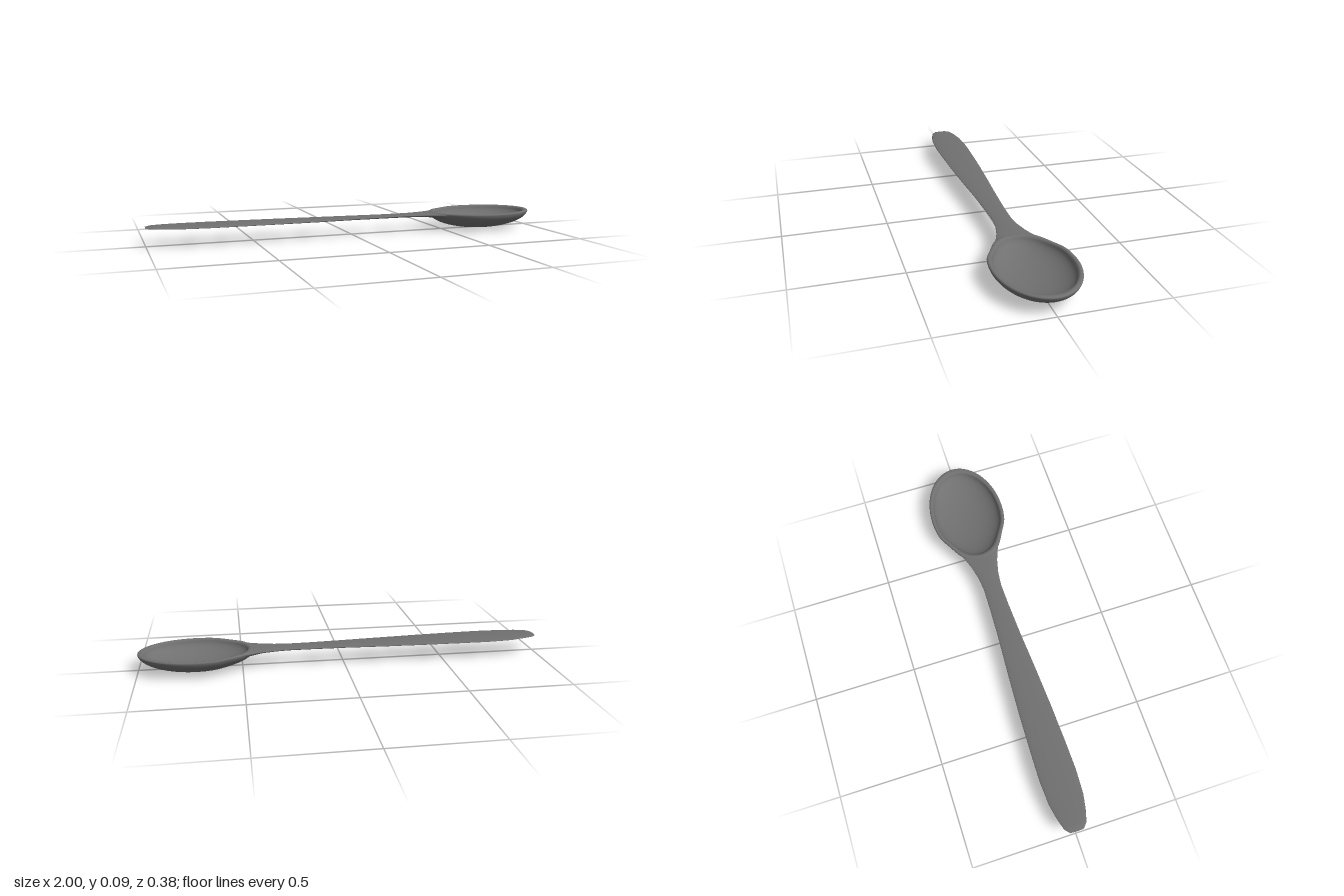
import * as THREE from 'three';

const RIM_Y = 0.09, BOWL_X = 0.72, RX = 0.28, RZ = 0.19;
const material = new THREE.MeshStandardMaterial({ color: 0x707070, side: THREE.DoubleSide });

// Slight narrowing of the shoulders where the bowl flows into the neck
function pinch(x) {
  const t = Math.min(1, Math.max(0, (x - 0.44) / 0.2));
  return 1 - 0.08 * Math.sin(Math.PI * t) ** 2;
}

// Bowl: one closed lathe profile (underside, rounded rim, dish), stretched to an oval
function makeBowl() {
  const pts = [];
  const N = 20;
  for (let i = 0; i <= N; i++) {
    const a = (i / N) * Math.PI / 2 * 0.95;
    pts.push(new THREE.Vector2(Math.sin(a), RIM_Y * (1 - Math.cos(a))));
  }
  pts.push(new THREE.Vector2(0.995, 0.087), new THREE.Vector2(0.975, RIM_Y),
    new THREE.Vector2(0.94, RIM_Y), new THREE.Vector2(0.905, 0.0885));
  for (let i = 1; i <= N; i++) {
    const a = (1 - i / N) * Math.PI / 2;
    pts.push(new THREE.Vector2(0.89 * Math.sin(a), 0.087 - 0.071 * Math.cos(a)));
  }
  pts[pts.length - 1].x = 0;
  const geo = new THREE.LatheGeometry(pts, 72);
  geo.scale(RX, 1, RZ).translate(BOWL_X, 0, 0);
  const pos = geo.attributes.position;
  for (let i = 0; i < pos.count; i++) pos.setZ(i, pos.getZ(i) * pinch(pos.getX(i)));
  const bowl = new THREE.Mesh(geo, material);
  bowl.name = 'bowl';
  return bowl;
}

// Handle stations: x, half width, edge height, top height, bottom height
const STATIONS = [
  [-1.0, 0.001, 0.089, 0.0895, 0.088],
  [-0.998, 0.033, 0.088, 0.090, 0.087],
  [-0.978, 0.051, 0.088, 0.0945, 0.086],
  [-0.965, 0.057, 0.088, 0.095, 0.086],
  [-0.92, 0.070, 0.088, 0.095, 0.085],
  [-0.85, 0.084, 0.086, 0.0945, 0.083],
  [-0.73, 0.090, 0.085, 0.094, 0.081],
  [-0.6, 0.087, 0.085, 0.093, 0.079],
  [-0.4, 0.080, 0.084, 0.092, 0.077],
  [-0.2, 0.069, 0.083, 0.091, 0.075],
  [0.0, 0.056, 0.083, 0.090, 0.074],
  [0.15, 0.049, 0.082, 0.089, 0.073],
  [0.27, 0.046, 0.082, 0.089, 0.072],
  [0.34, 0.053, 0.082, 0.089, 0.071],
  [0.41, 0.069, 0.083, 0.089, 0.068],
  [0.46, 0.088, 0.083, 0.089, 0.059],
  [0.5, 0.112, 0.083, 0.089, 0.046],
  [0.545, 0.140, 0.083, 0.089, 0.032],
];

// Furthest x the neck may reach so that it ends inside the bowl wall
function wallX(y, z) {
  const r = 0.97 * Math.sqrt(Math.max(0, 1 - ((RIM_Y - Math.min(y, RIM_Y)) / RIM_Y) ** 2));
  const k = z / (RZ * r);
  return BOWL_X - RX * r * Math.sqrt(Math.max(0, 1 - k * k));
}

// Handle: lens-shaped sections lofted along x
function makeHandle() {
  const SEG = 32, pos = [], index = [];
  STATIONS.forEach(([station, w, edge, top, bottom], i) => {
    for (let j = 0; j < SEG; j++) {
      const a = (j / SEG) * Math.PI * 2, s = Math.sin(a);
      const y = edge + s * (s > 0 ? top - edge : edge - bottom);
      const z = w * Math.cos(a);
      const x = station > 0.4 ? Math.min(station, wallX(y, z)) : station;
      pos.push(x, y, z * pinch(x));
      if (i < STATIONS.length - 1) {
        const p = i * SEG + j, q = i * SEG + (j + 1) % SEG;
        index.push(p, p + SEG, q, q, p + SEG, q + SEG);
      }
    }
  });
  const geo = new THREE.BufferGeometry();
  geo.setAttribute('position', new THREE.Float32BufferAttribute(pos, 3));
  geo.setIndex(index);
  geo.computeVertexNormals();
  const handle = new THREE.Mesh(geo, material);
  handle.name = 'handle';
  return handle;
}

export function createModel() {
  const spoon = new THREE.Group();
  spoon.name = 'spoon';
  spoon.add(makeBowl(), makeHandle());
  return spoon;
}
